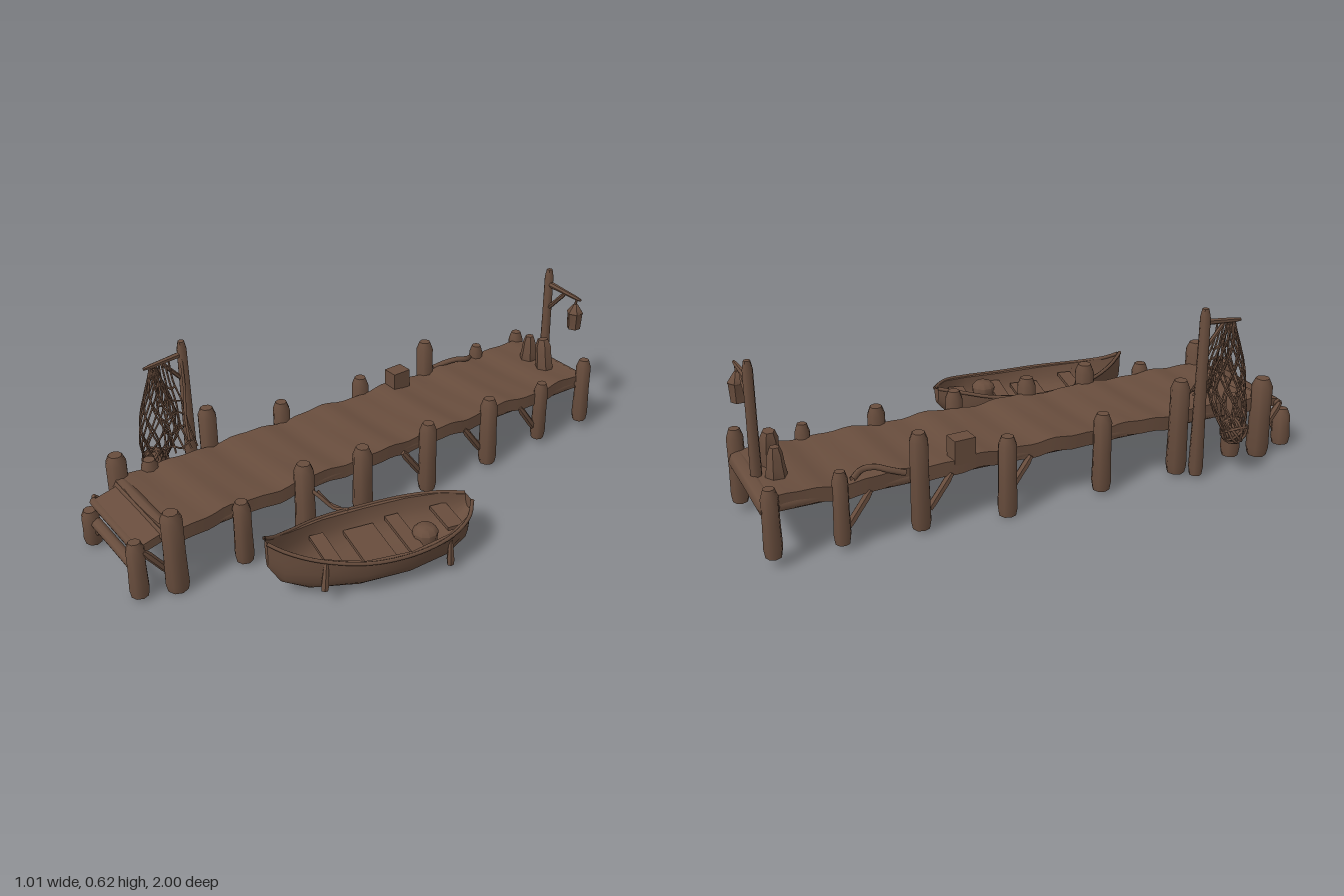
import * as THREE from 'three';
import { toCreasedNormals } from 'three/addons/utils/BufferGeometryUtils.js';

const wood = new THREE.MeshStandardMaterial({ color: 0x684d3d, side: THREE.DoubleSide });
wood.name = 'weathered brown wood';
const V = (a) => new THREE.Vector3(...a);

function part(group, name, geo, crease = 0.7) {
  const mesh = new THREE.Mesh(crease ? toCreasedNormals(geo, crease) : geo, wood);
  mesh.name = name;
  group.add(mesh);
  return mesh;
}

// Rough timber running from a to b, with worn ends
function log(group, name, a, b, r0, r1 = r0, sides = 8) {
  const from = V(a), dir = V(b).sub(from), h = dir.length(), e = Math.min(0.03, h * 0.2);
  const pts = [[0, 0], [r0 * 0.85, 0], [r0, e], [(r0 + r1) / 2 * 0.96, h / 2], [r1, h - e], [r1 * 0.65, h], [0, h]];
  const geo = new THREE.LatheGeometry(pts.map((p) => new THREE.Vector2(...p)), sides);
  const mesh = part(group, name, geo, 0.9);
  mesh.position.copy(from);
  mesh.quaternion.setFromUnitVectors(new THREE.Vector3(0, 1, 0), dir.normalize());
  return mesh;
}

function rope(group, name, pts, r = 0.004, segs = 10) {
  const curve = new THREE.CatmullRomCurve3(pts.map(V));
  return part(group, name, new THREE.TubeGeometry(curve, segs, r, 5), 0);
}

function box(group, name, size, pos, rotY = 0) {
  const mesh = part(group, name, new THREE.BoxGeometry(...size));
  mesh.position.set(...pos);
  mesh.rotation.y = rotY;
  return mesh;
}

// Worn walkway with shallow dips along its length and a sagging underside
function buildDeck(g) {
  const geo = new THREE.BoxGeometry(0.385, 0.05, 1.83, 8, 1, 60);
  const p = geo.attributes.position;
  for (let i = 0; i < p.count; i++) {
    const x = p.getX(i), z = p.getZ(i), under = p.getY(i) < 0;
    const wave = 0.005 * Math.sin(z * 21) + 0.003 * Math.sin(z * 47 + x * 5) - 0.006 * Math.cos(x * 8);
    const across = 1 - (x / 0.1925) ** 2;
    const front = THREE.MathUtils.smoothstep(z, 0.3, 0.7) * (1 - THREE.MathUtils.smoothstep(z, 0.8, 0.915));
    const sag = under ? across * (0.012 + 0.04 * front) : 0;
    p.setY(i, p.getY(i) + wave - sag);
    p.setX(i, x * (1 + 0.025 * Math.sin(z * 17)));
  }
  geo.computeVertexNormals();
  part(g, 'deck', geo).position.set(-0.157, 0.198, -0.055);
  for (const x of [-0.325, 0.01]) log(g, 'sideBeam', [x, 0.187, -0.96], [x, 0.187, 0.86], 0.024);
  log(g, 'backBeam', [-0.36, 0.19, -0.965], [0.05, 0.19, -0.965], 0.035);
  log(g, 'frontBeam', [-0.36, 0.195, 0.84], [0.05, 0.195, 0.84], 0.03);
  // Landing step at the front end
  const step = box(g, 'frontStep', [0.34, 0.03, 0.11], [-0.157, 0.182, 0.89]);
  step.rotation.x = 0.25;
  log(g, 'stepRail', [-0.34, 0.098, 0.955], [0.02, 0.098, 0.955], 0.021);
  log(g, 'stepRail', [-0.34, 0.168, 0.945], [0.02, 0.168, 0.945], 0.017);
  for (const [x, d] of [[-0.32, 1], [0.005, -1]]) {
    log(g, 'stepBrace', [x, 0.05, 0.955], [x + d * 0.05, 0.1, 0.955], 0.012, 0.012, 6);
  }
}

function buildPosts(g) {
  // x, z, foot, top, radius
  const posts = [
    [0.05, 0.84, 0, 0.3, 0.041], [0.058, 0.59, 0.01, 0.25, 0.034], [0.05, 0.345, 0, 0.295, 0.038],
    [0.05, 0.1, 0.01, 0.28, 0.037], [0.055, -0.185, 0, 0.28, 0.034], [0.05, -0.475, 0.01, 0.28, 0.034],
    [0.045, -0.745, 0.02, 0.265, 0.028], [0.045, -0.965, 0.03, 0.295, 0.03],
    [-0.365, 0.84, 0, 0.3, 0.04], [-0.355, 0.72, 0.02, 0.25, 0.034], [-0.375, 0.48, 0.01, 0.36, 0.036],
    [-0.37, 0.175, 0.01, 0.29, 0.034], [-0.375, -0.185, 0, 0.28, 0.034], [-0.355, -0.48, 0.01, 0.35, 0.034],
    [-0.35, -0.745, 0.02, 0.265, 0.028], [-0.355, -0.965, 0.03, 0.26, 0.03],
    [0.018, 0.962, 0.01, 0.213, 0.034], [-0.337, 0.962, 0.01, 0.145, 0.034],
  ];
  posts.forEach(([x, z, y0, y1, r], i) => {
    const lean = 0.005 * Math.sin(i * 2.3);
    log(g, 'post', [x - lean, y0, z], [x + lean, y1, z + lean], r * 1.03, r * 0.95);
  });
  // Diagonal braces under the deck edges
  for (const z of [0.84, -0.185, -0.47, -0.745]) {
    for (const x of [0.035, -0.35]) log(g, 'brace', [x, 0.07, z + 0.02], [x, 0.18, z + 0.1], 0.014, 0.014, 6);
  }
}

function buildLamp(g) {
  const z = -0.955;
  log(g, 'lampPost', [-0.17, 0.2, z], [-0.176, 0.605, z], 0.019, 0.017);
  log(g, 'lampArm', [-0.18, 0.545, z], [0.005, 0.538, z], 0.012, 0.008, 6);
  log(g, 'lampBrace', [-0.165, 0.445, z], [-0.08, 0.537, z], 0.009, 0.009, 6);
  rope(g, 'lampHook', [[-0.012, 0.54, z], [-0.018, 0.525, z], [-0.02, 0.5, z]], 0.005);
  const profile = [[0, 0.41], [0.026, 0.413], [0.03, 0.475], [0.033, 0.48], [0.022, 0.495], [0.01, 0.512], [0, 0.515]];
  const lantern = part(g, 'lantern', new THREE.LatheGeometry(profile.map((p) => new THREE.Vector2(...p)), 6));
  lantern.position.set(-0.019, 0, z);
  // Bollards and cargo standing on the deck
  log(g, 'bollard', [-0.203, 0.2, -0.9], [-0.203, 0.32, -0.9], 0.036, 0.025, 6);
  log(g, 'bollard', [-0.1, 0.2, -0.895], [-0.122, 0.34, -0.895], 0.036, 0.032, 6);
  box(g, 'crate', [0.06, 0.085, 0.075], [-0.325, 0.247, -0.325], 0.05);
  // Loose rope lying along the left edge
  rope(g, 'looseRope', [[-0.34, 0.225, -0.7], [-0.315, 0.24, -0.66], [-0.325, 0.245, -0.62], [-0.345, 0.235, -0.58],
    [-0.36, 0.22, -0.53]], 0.011, 20);
}

function buildNet(g) {
  log(g, 'netPost', [-0.42, 0.01, 0.53], [-0.42, 0.622, 0.53], 0.026, 0.018);
  log(g, 'netArm', [-0.42, 0.575, 0.52], [-0.415, 0.56, 0.68], 0.011, 0.009, 6);
  log(g, 'netArmBrace', [-0.42, 0.48, 0.54], [-0.418, 0.56, 0.61], 0.008, 0.008, 6);
  // Hanging sack of crossing strands, swinging outward at its foot
  const sack = (t, a) => {
    const r = 0.012 + 0.052 * Math.sin(Math.PI * t ** 1.2) + 0.016 * t;
    const x = -0.408 - 0.055 * THREE.MathUtils.smoothstep(t, 0.55, 0.95);
    return [x + r * 0.55 * Math.cos(a), 0.56 - 0.42 * t, 0.648 + r * Math.sin(a)];
  };
  for (let i = 0; i < 9; i++) {
    for (const s of [-1, 1]) {
      const pts = [];
      for (let k = 0; k <= 12; k++) pts.push(sack(k / 12, i * Math.PI * 2 / 9 + s * k * 0.22));
      rope(g, 'netStrand', pts, 0.0035, 24);
    }
  }
  // Sheet draped from the arm to the deck edge
  const sheet = (u, t) => [-0.415 + 0.1 * t ** 1.8, 0.56 - 0.3 * t, 0.61 + (u - 0.5) * (0.05 + 0.07 * t)];
  for (let i = 0; i <= 4; i++) {
    rope(g, 'netStrand', [0, 0.25, 0.5, 0.75, 1].map((t) => sheet(i / 4 + 0.06 * Math.sin(t * 9 + i), t)), 0.0035, 14);
    const t = 0.3 + i * 0.16;
    rope(g, 'netStrand', [0, 0.25, 0.5, 0.75, 1].map((u) => sheet(u, t + 0.03 * Math.sin(u * 8 + i))), 0.0035, 14);
  }
  // Gathered bundle at the bottom
  const ball = part(g, 'netBundle', new THREE.IcosahedronGeometry(0.04, 1), 0.3);
  ball.scale.set(0.9, 1.1, 0.95);
  ball.position.set(-0.457, 0.168, 0.655);
  for (let i = 0; i < 8; i++) {
    const ring = part(g, 'bundleStrand', new THREE.TorusGeometry(0.045, 0.005, 5, 16), 0);
    ring.position.set(-0.457, 0.168, 0.655);
    ring.rotation.set(i * 0.8, i * 1.3, 0);
  }
  rope(g, 'netLine', [[-0.41, 0.56, 0.54], [-0.385, 0.45, 0.55], [-0.355, 0.37, 0.57], [-0.32, 0.29, 0.58]], 0.005);
}

function buildBoat(g) {
  // z, left edge x, right edge x, rim height, keel height
  const rows = [
    [-0.12, 0.35, 0.39, 0.16, 0.1], [-0.05, 0.288, 0.458, 0.155, 0.02], [0.05, 0.225, 0.492, 0.142, 0.004],
    [0.2, 0.18, 0.492, 0.135, 0], [0.36, 0.168, 0.457, 0.145, 0.002], [0.5, 0.2, 0.377, 0.168, 0.012],
    [0.58, 0.232, 0.308, 0.195, 0.05], [0.62, 0.251, 0.269, 0.22, 0.12],
  ];
  const N = 10, ring = 2 * (N + 1), pos = [], idx = [];
  for (const [z, l, r, top, keel] of rows) {
    const cx = (l + r) / 2, hw = (r - l) / 2;
    for (let k = 0; k < ring; k++) {
      const inner = k > N, a = Math.PI * (inner ? ring - 1 - k : k) / N;
      const w = inner ? hw * 0.89 : hw, depth = (top - keel) * (inner ? 0.75 : 1);
      const c = Math.cos(a), s = Math.max(0, Math.sin(a));
      pos.push(cx - w * Math.sign(c) * Math.abs(c) ** 0.9, top - depth * s ** 0.8 - 0.012 * (a / Math.PI - 0.5), z);
    }
  }
  for (let i = 0; i < rows.length - 1; i++) {
    for (let k = 0; k < ring; k++) {
      const a = i * ring + k, b = i * ring + (k + 1) % ring;
      idx.push(a, b, a + ring, b, b + ring, a + ring);
    }
  }
  // Close the two ends between outer and inner skins
  for (const o of [0, (rows.length - 1) * ring]) {
    for (let k = 1; k < ring - 1; k++) idx.push(o, o + k, o + k + 1);
  }
  const geo = new THREE.BufferGeometry();
  geo.setAttribute('position', new THREE.Float32BufferAttribute(pos, 3));
  geo.setIndex(idx);
  part(g, 'hull', geo, 0.7);
  // Raised rim along both sides
  for (const side of [1, 2]) {
    const tilt = side === 1 ? 0.006 : -0.006;
    rope(g, 'gunwale', rows.map((r) => [r[side], r[3] + tilt, r[0]]), 0.007, 30);
  }
  box(g, 'boatBench', [0.17, 0.014, 0.05], [0.295, 0.12, 0.42], -0.2);
  box(g, 'boatBench', [0.22, 0.014, 0.11], [0.325, 0.085, 0.26], -0.2);
  box(g, 'boatBench', [0.23, 0.014, 0.05], [0.355, 0.1, 0.14], -0.2);
  box(g, 'sternSeat', [0.14, 0.014, 0.06], [0.37, 0.115, -0.025], -0.2);
  log(g, 'bucket', [0.4, 0.05, 0.09], [0.4, 0.14, 0.09], 0.042, 0.045, 10);
  // Fenders and mooring lines
  log(g, 'fender', [0.395, 0.05, 0.49], [0.385, 0.145, 0.475], 0.014, 0.01, 6);
  log(g, 'fender', [0.49, 0.02, 0.05], [0.487, 0.115, 0.05], 0.014, 0.01, 6);
  rope(g, 'mooringRope', [[0.05, 0.21, 0.34], [0.1, 0.175, 0.31], [0.135, 0.14, 0.28], [0.18, 0.145, 0.25]], 0.007);
  rope(g, 'mooringRope', [[0.08, 0.19, 0.31], [0.12, 0.15, 0.285], [0.155, 0.135, 0.26], [0.155, 0.1, 0.26]], 0.006);
}

export function createModel() {
  const model = new THREE.Group();
  const builders = { pier: buildDeck, posts: buildPosts, lamp: buildLamp, fishingNet: buildNet, rowingBoat: buildBoat };
  for (const [name, build] of Object.entries(builders)) {
    const group = new THREE.Group();
    group.name = name;
    build(group);
    model.add(group);
  }
  return model;
}
